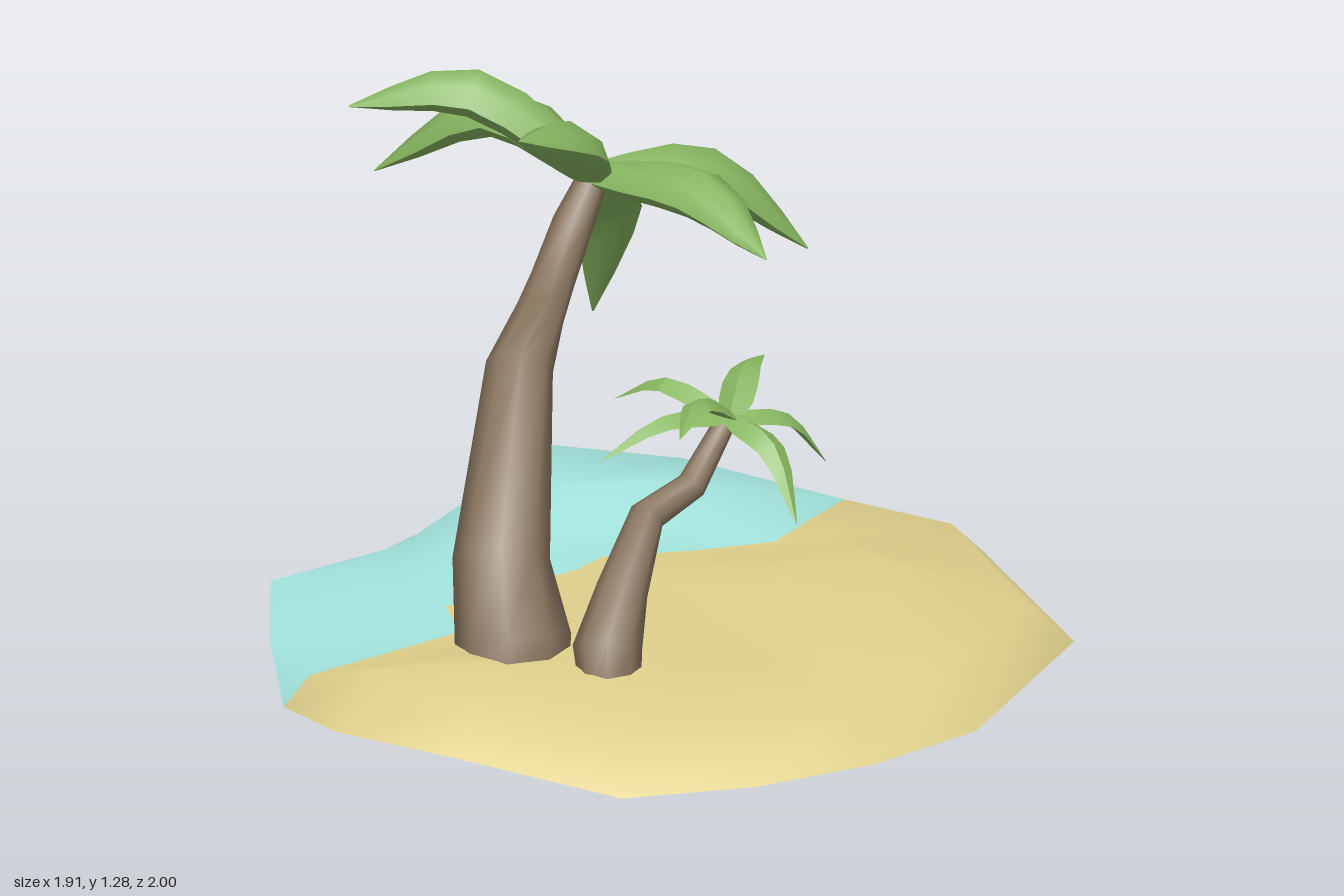
import * as THREE from 'three';
import { toCreasedNormals } from 'three/addons/utils/BufferGeometryUtils.js';

const mat = (name, color, side = THREE.FrontSide) => {
  const m = new THREE.MeshStandardMaterial({ color, side });
  m.name = name;
  return m;
};
const V = (a) => new THREE.Vector3(...a);

// Closed skin through scaled copies of a cross-section placed along a path
function loft(points, sizes, section, ref, crease) {
  const n = section.length, pos = [], idx = [];
  points.forEach((p, i) => {
    const t = points[Math.min(i + 1, points.length - 1)].clone()
      .sub(points[Math.max(i - 1, 0)]).normalize();
    const side = t.clone().cross(ref).normalize();
    const up = side.clone().cross(t);
    for (const [a, b] of section) {
      const q = p.clone().addScaledVector(side, a * sizes[i]).addScaledVector(up, b * sizes[i]);
      pos.push(q.x, q.y, q.z);
    }
  });
  for (let i = 0; i < points.length - 1; i++) {
    for (let j = 0; j < n; j++) {
      const a = i * n + j, b = i * n + (j + 1) % n;
      idx.push(a, a + n, b, b, a + n, b + n);
    }
  }
  const last = (points.length - 1) * n;
  for (let j = 1; j < n - 1; j++) idx.push(0, j, j + 1, last, last + j + 1, last + j);
  const g = new THREE.BufferGeometry();
  g.setAttribute('position', new THREE.Float32BufferAttribute(pos, 3));
  g.setIndex(idx);
  return toCreasedNormals(g, crease);
}

const trunkSection = Array.from({ length: 8 }, (_, k) =>
  [Math.cos(k * Math.PI / 4), Math.sin(k * Math.PI / 4)]);
// Plump leaves for the large palm, thin ridged ones for the small palm
const plump = {
  section: [[0.85, -0.15], [0.6, 0.35], [0, 0.62], [-0.6, 0.35], [-0.85, -0.15], [-0.45, -0.5], [0.45, -0.5]],
  widths: [0.5, 0.78, 0.97, 1, 0.82, 0.48, 0.03], size: 0.093, crease: 1.0,
};
const spiky = {
  section: [[1, -0.25], [0, 0.35], [-1, -0.25], [0, -0.3]],
  widths: [0.6, 0.95, 1, 0.85, 0.6, 0.32, 0.03], size: 0.043, crease: 0.4,
};

function palm(name, trunk, radii, crown, fronds, style, bark, leaf) {
  const g = new THREE.Group();
  g.name = name;
  const stem = new THREE.Mesh(
    loft(trunk.map(V), radii, trunkSection, new THREE.Vector3(0, 0, 1), 1.1), bark);
  stem.name = 'trunk';
  g.add(stem);
  // Each frond arches from the crown through a middle point to its tip
  for (const [mid, tip] of fronds) {
    const path = new THREE.CatmullRomCurve3([V(crown), V(mid), V(tip)]);
    const m = new THREE.Mesh(loft(path.getPoints(6), style.widths.map((w) => w * style.size),
      style.section, new THREE.Vector3(0, 1, 0), style.crease), leaf);
    m.name = 'frond';
    g.add(m);
  }
  return g;
}

// Rim of the island: x, z, rim height, height just inside the rim, height further in
const rim = [
  [-0.44, -0.825, 0.05, 0.065, 0.10], [-0.11, -0.82, 0.05, 0.08, 0.12],
  [0.45, -0.915, 0.085, 0.18, 0.17], [0.70, -0.68, 0.055, 0.155, 0.18],
  [0.83, -0.25, 0.05, 0.14], [0.955, 0.05, 0.05, 0.14],
  [0.74, 0.65, 0.05, 0.14], [0.19, 0.97, 0.05, 0.14],
  [-0.13, 0.995, 0.05, 0.14], [-0.44, 0.94, 0.05, 0.14],
  [-0.64, 0.70, 0.0, 0.10], [-0.85, 0.365, 0.05, 0.13],
  [-0.955, 0.05, 0.05, 0.18, 0.15], [-0.86, -0.26, 0.0, 0.07, 0.13],
  [-0.69, -0.52, 0.05, 0.065, 0.10],
];
const rings = [0.15, 0.4, 0.6, 0.9, 1];
// Bent spokes that follow the shoreline
const shore = {
  4: [[0.10, -0.28], [0.30, -0.17], [0.46, -0.10], [0.77, -0.225], [0.83, -0.25]],
  13: [[-0.10, -0.25], [-0.39, -0.25], [-0.45, -0.12], [-0.80, -0.24], [-0.86, -0.26]],
};

// Open shell of ground: rings of vertices around a centre, sand and water as two groups
function islandGeometry() {
  const n = rim.length, c = [0, -0.25], pos = [c[0], 0.14, c[1]];
  const spot = (i, k) => {
    if (shore[i]) return shore[i][k];
    const t = rings[k], bend = i === 5 || i === 12 ? 0.12 * Math.sin(Math.PI * t) : 0;
    return [c[0] + (rim[i][0] - c[0]) * t, c[1] + (rim[i][1] - c[1]) * t + bend];
  };
  const mound = (x, z) => 0.14 + 0.08 * Math.exp(-((x - 0.4) ** 2 + (z - 0.28) ** 2) / 0.05);
  rings.forEach((_, k) => rim.forEach((r, i) => {
    const [x, z] = spot(i, k), h = mound(x, z);
    pos.push(x, [h, h, r[4] ?? h, r[3], r[2]][k], z);
  }));
  const faces = [[], []];
  for (let i = 0; i < n; i++) {
    const j = (i + 1) % n, f = faces[i < 4 || i > 12 ? 1 : 0];
    f.push(0, 1 + j, 1 + i);
    for (let k = 0; k < rings.length - 1; k++) {
      const a = 1 + k * n + i, b = 1 + k * n + j;
      f.push(a, b, b + n, a, b + n, a + n);
    }
  }
  const g = new THREE.BufferGeometry();
  g.setAttribute('position', new THREE.Float32BufferAttribute(pos, 3));
  g.setIndex([...faces[0], ...faces[1]]);
  g.addGroup(0, faces[0].length, 0);
  g.addGroup(faces[0].length, faces[1].length, 1);
  g.computeVertexNormals();
  return g;
}

export function createModel() {
  const model = new THREE.Group();
  model.name = 'palmIsland';
  const sand = mat('sand', 0xdfd08b, THREE.DoubleSide), water = mat('water', 0xa8eae4, THREE.DoubleSide);
  const bark = mat('bark', 0x88745e), leaf = mat('leaf', 0x87b660);

  const island = new THREE.Mesh(islandGeometry(), [sand, water]);
  island.name = 'island';
  model.add(island);

  model.add(palm('largePalm',
    [[-0.44, 0.06, 0.06], [-0.425, 0.15, 0.04], [-0.395, 0.32, -0.04], [-0.195, 0.69, -0.22],
      [-0.06, 0.765, -0.31], [0.02, 0.81, -0.365], [0.11, 0.92, -0.4], [0.18, 1.02, -0.41]],
    [0.125, 0.135, 0.112, 0.078, 0.058, 0.052, 0.048, 0.035],
    [0.18, 1.02, -0.41],
    [
      [[0.15, 1.09, -0.72], [0.01, 0.90, -1.0]],
      [[0.00, 1.20, -0.63], [-0.23, 1.17, -0.80]],
      [[0.35, 0.87, -0.57], [0.42, 0.545, -0.71]],
      [[0.46, 0.98, -0.35], [0.67, 0.775, -0.235]],
      [[0.27, 1.03, -0.13], [0.25, 0.95, 0.13]],
      [[-0.04, 1.19, -0.24], [-0.26, 1.28, -0.14]],
    ], plump, bark, leaf));

  model.add(palm('smallPalm',
    [[-0.355, 0.07, 0.31], [-0.345, 0.18, 0.285], [-0.26, 0.29, 0.235], [-0.13, 0.42, 0.165],
      [0.01, 0.46, 0.155], [0.12, 0.59, 0.145]],
    [0.07, 0.08, 0.06, 0.042, 0.035, 0.025],
    [0.13, 0.60, 0.15],
    [
      [[0.07, 0.65, -0.01], [0.03, 0.58, -0.15]],
      [[0.27, 0.57, 0.18], [0.375, 0.445, 0.195]],
      [[0.14, 0.56, 0.29], [0.11, 0.415, 0.415]],
      [[-0.03, 0.61, 0.10], [-0.19, 0.54, 0.07]],
      [[0.22, 0.68, 0.09], [0.31, 0.68, 0.05]],
      [[0.00, 0.67, 0.19], [-0.11, 0.63, 0.26]],
    ], spiky, bark, leaf));
  return model;
}
